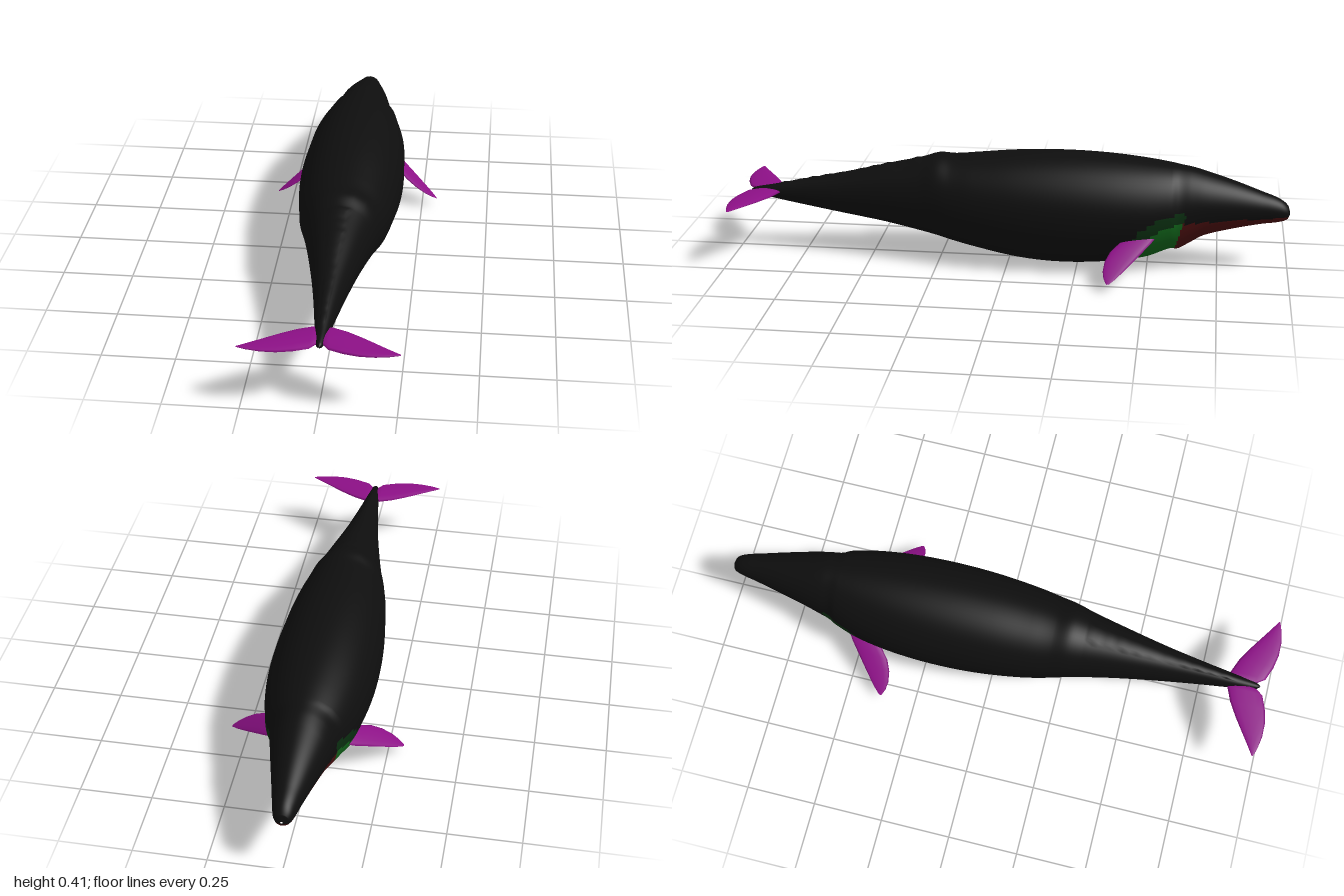
import * as THREE from 'three';

const paint = (name, color) => {
  const m = new THREE.MeshStandardMaterial({ color });
  m.name = name;
  return m;
};

// Body stations from snout to tail: z, top y, bottom y, half width
const STATIONS = [
  [-1.0, 0.215, 0.207, 0.004], [-0.992, 0.238, 0.19, 0.024], [-0.96, 0.263, 0.178, 0.038],
  [-0.9, 0.286, 0.169, 0.052], [-0.8, 0.322, 0.148, 0.076], [-0.7, 0.353, 0.12, 0.1],
  [-0.65, 0.367, 0.09, 0.111], [-0.61, 0.374, 0.066, 0.12], [-0.58, 0.379, 0.066, 0.136],
  [-0.5, 0.39, 0.034, 0.16], [-0.4, 0.4, 0.016, 0.177], [-0.3, 0.406, 0.005, 0.186],
  [-0.2, 0.408, 0.001, 0.189], [-0.1, 0.406, 0.005, 0.187], [0, 0.4, 0.018, 0.18],
  [0.12, 0.388, 0.043, 0.165], [0.2, 0.381, 0.062, 0.149], [0.26, 0.384, 0.078, 0.134],
  [0.32, 0.366, 0.092, 0.118], [0.45, 0.336, 0.119, 0.09], [0.6, 0.3, 0.143, 0.062],
  [0.75, 0.268, 0.168, 0.039], [0.87, 0.242, 0.19, 0.023], [0.94, 0.228, 0.206, 0.011],
  [0.955, 0.22, 0.218, 0.001],
];

// Cubic blend through the rows of the station table
function rowAt(t) {
  const i = Math.min(Math.floor(t), STATIONS.length - 2), f = t - i;
  const at = (k) => STATIONS[Math.max(0, Math.min(STATIONS.length - 1, k))];
  const [p, q, r, s] = [at(i - 1), at(i), at(i + 1), at(i + 2)];
  return q.map((b, c) => {
    const h = r[0] - q[0];
    const m0 = c === 0 ? h : ((r[c] - p[c]) / (r[0] - p[0])) * h;
    const m1 = c === 0 ? h : ((s[c] - b) / (s[0] - q[0])) * h;
    const d = r[c] - b;
    return b + m0 * f + (3 * d - 2 * m0 - m1) * f * f + (m0 + m1 - 2 * d) * f * f * f;
  });
}

// Joins closed rings of points; pick() chooses the material of each quad
function loft(rings, flip, pick) {
  const n = rings[0].length;
  const buckets = [[], [], [], []];
  for (let i = 0; i < rings.length - 1; i++) {
    for (let j = 0; j < n; j++) {
      const k = (j + 1) % n;
      const a = i * n + j, b = i * n + k, c = a + n, d = b + n;
      const mid = rings[i][j].clone().add(rings[i + 1][k]).multiplyScalar(0.5);
      buckets[pick ? pick(mid) : 0].push(...(flip ? [a, b, c, b, d, c] : [a, c, b, b, c, d]));
    }
  }
  const geo = new THREE.BufferGeometry().setFromPoints(rings.flat());
  geo.setIndex(buckets.flat());
  let start = 0;
  buckets.forEach((list, m) => {
    if (pick && list.length) geo.addGroup(start, list.length, m);
    start += list.length;
  });
  geo.computeVertexNormals();
  return geo;
}

// 0 skin, 1 jaw, 2 throat, 3 throat border
function bodyZone(p) {
  const jawEnd = -0.626 + (0.19 - p.y) * 0.26;
  if (p.z < jawEnd) {
    if (p.y < 0.193 + Math.max(0, -0.63 - p.z) * 0.025) return 1;
    return p.z > -0.63 && p.y < 0.23 ? 3 : 0;
  }
  const dz = p.z + 0.62, dy = Math.max(0, p.y - 0.02);
  if (Math.hypot(dz / 0.155, dy / 0.17) < 1) return 2;
  return Math.hypot(dz, dy) < 0.21 ? 3 : 0;
}

function bodyGeometry() {
  const SIDES = 18, SUB = 4, STEPS = 6, count = SIDES * SUB;
  const corner = (Math.PI * 2) / SIDES;
  const build = (faceted) => {
    const rings = [];
    for (let s = 0; s <= (STATIONS.length - 1) * STEPS; s++) {
      const [z, top, bottom, w] = rowAt(s / STEPS);
      const ring = [];
      for (let j = 0; j < count; j++) {
        const a = (j / count) * Math.PI * 2;
        const k = faceted ? Math.cos(corner / 2) / Math.cos((a % corner) - corner / 2) : 1;
        // small knuckles along the tail ridge
        const knob = z > 0.33 && z < 0.88 && Math.cos(a) > 0.95 ? 0.004 * Math.max(0, Math.sin(z * 115)) : 0;
        ring.push(new THREE.Vector3(
          Math.sin(a) * w * k,
          (top + bottom) / 2 + Math.cos(a) * ((top - bottom) / 2) * k + knob,
          z));
      }
      rings.push(ring);
    }
    return loft(rings, false, bodyZone);
  };
  // eighteen-sided outline with the normals of the round form
  const geo = build(true);
  geo.setAttribute('normal', build(false).attributes.normal);
  return geo;
}

// Lens-shaped fin; sections are x, leading z, trailing z, half thickness
function finGeometry(sections, side, heightAt) {
  const n = 12;
  const rings = sections.map(([x, lead, trail, thick]) =>
    Array.from({ length: n }, (_, j) => {
      const a = (j / n) * Math.PI * 2;
      return new THREE.Vector3(
        side * x,
        heightAt(x) + Math.cos(a) * thick,
        (lead + trail) / 2 + (Math.sin(a) * (trail - lead)) / 2);
    }));
  return loft(rings, side > 0);
}

const FLIPPER = [
  [0.12, -0.54, -0.43, 0.009], [0.155, -0.516, -0.408, 0.01], [0.19, -0.486, -0.376, 0.009],
  [0.225, -0.456, -0.36, 0.007], [0.26, -0.425, -0.356, 0.005], [0.285, -0.402, -0.361, 0.003],
  [0.305, -0.38, -0.372, 0.001],
];
const FLUKE = [
  [0.007, 0.87, 0.92, 0.0005], [0.012, 0.842, 0.942, 0.009], [0.03, 0.841, 0.967, 0.01],
  [0.08, 0.861, 0.986, 0.009], [0.13, 0.89, 0.996, 0.008], [0.18, 0.923, 0.996, 0.006],
  [0.225, 0.953, 0.988, 0.004], [0.257, 0.973, 0.978, 0.001],
];

export function createModel() {
  const group = new THREE.Group();
  const skin = paint('black skin', 0x0e0e0e);
  const jaw = paint('dark red jaw', 0x4a0f0f);
  const throat = paint('green throat', 0x11641a);
  const border = paint('dark green border', 0x0a2e10);
  const fin = paint('purple fin', 0x8c1086);

  const add = (name, geo, material) => {
    const mesh = new THREE.Mesh(geo, material);
    mesh.name = name;
    group.add(mesh);
  };

  add('body', bodyGeometry(), [skin, jaw, throat, border]);
  for (const side of [1, -1]) {
    const label = side > 0 ? 'left' : 'right';
    add(label + 'Flipper', finGeometry(FLIPPER, side, (x) => 0.12 - (x - 0.17) * 0.66), fin);
    add(label + 'Fluke', finGeometry(FLUKE, side, () => 0.22), fin);
  }
  return group;
}
